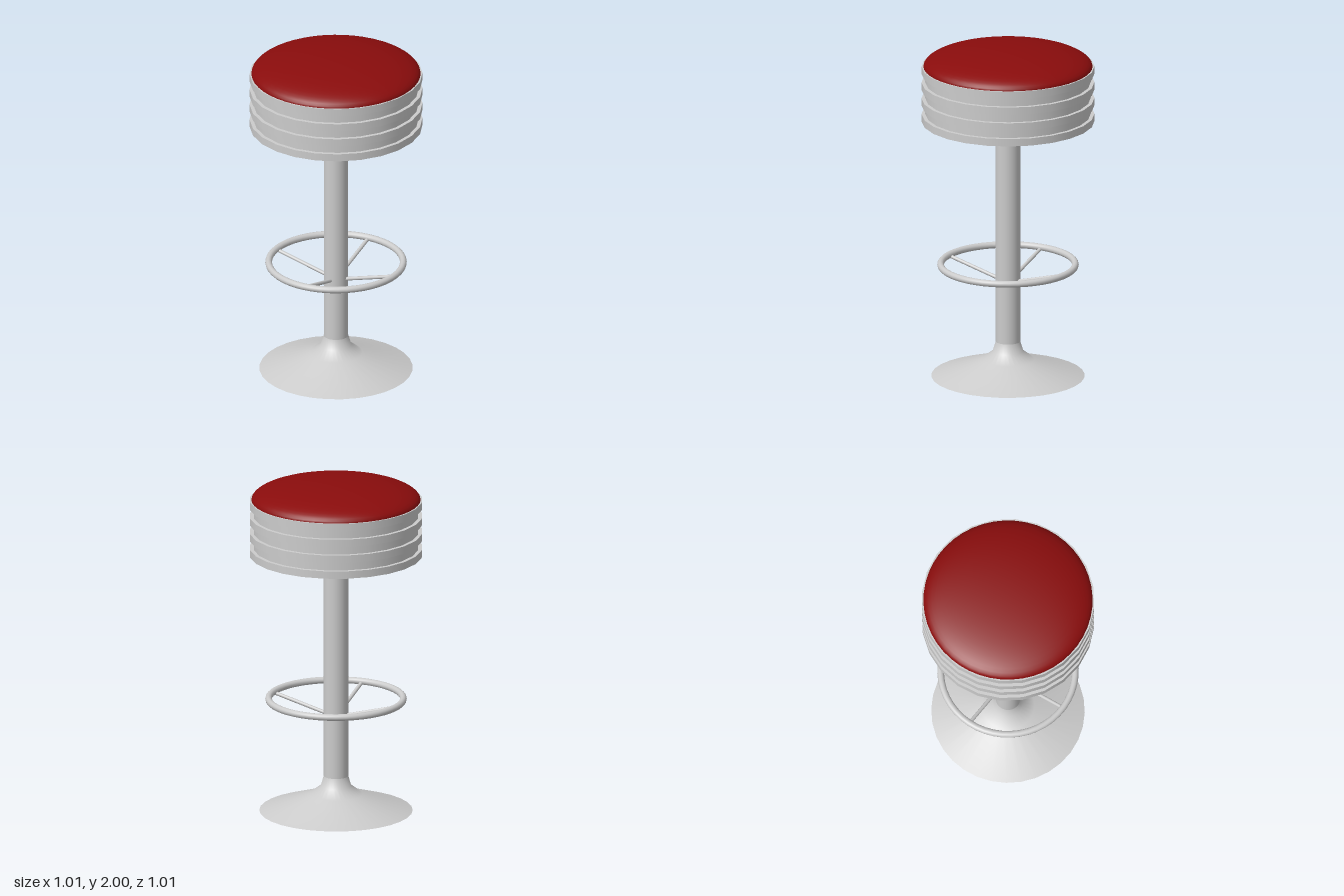
import * as THREE from 'three';

export function createModel() {
  const stool = new THREE.Group();
  stool.name = 'barStool';
  const metal = new THREE.MeshStandardMaterial({ color: 0xcccccc });
  const red = new THREE.MeshStandardMaterial({ color: 0x8a0c0c });

  const add = (name, geometry, material = metal, y = 0, parent = stool) => {
    const mesh = new THREE.Mesh(geometry, material);
    mesh.name = name;
    mesh.position.y = y;
    parent.add(mesh);
    return mesh;
  };
  const points = (list) => list.map(([r, y]) => new THREE.Vector2(r, y));

  // Flared foot, closed underneath
  add('base', new THREE.LatheGeometry(points([[0.45, 0], [0.155, 0.1], [0.09, 0.15], [0.072, 0.21]]), 32));
  const underside = add('baseUnderside', new THREE.CircleGeometry(0.45, 32));
  underside.rotation.set(Math.PI / 2, 0, Math.PI / 2);

  // Column
  add('column', new THREE.CylinderGeometry(0.072, 0.072, 1.36, 32, 1, true), metal, 0.89);

  // Footrest ring with four sloping struts
  const footrest = new THREE.Group();
  footrest.name = 'footrest';
  stool.add(footrest);
  const ring = add('footRing', new THREE.TorusGeometry(0.395, 0.02, 12, 48), metal, 0.68, footrest);
  ring.rotation.x = Math.PI / 2;
  for (let i = 0; i < 4; i++) {
    const path = new THREE.LineCurve3(new THREE.Vector3(0.068, 0.587, 0), new THREE.Vector3(0.39, 0.673, 0));
    const strut = add('footrestStrut', new THREE.TubeGeometry(path, 1, 0.011, 10), metal, 0, footrest);
    strut.rotation.y = i * Math.PI / 2;
  }

  // Seat drum with four raised bands
  const seat = new THREE.Group();
  seat.name = 'seat';
  stool.add(seat);
  add('seatDrum', new THREE.CylinderGeometry(0.485, 0.485, 0.32, 24), metal, 1.727, seat);
  for (let i = 0; i < 4; i++) {
    add('seatBand', new THREE.CylinderGeometry(0.507, 0.507, 0.045, 24), metal, 1.582 + i * 0.0967, seat);
  }

  // Domed cushion
  const dome = new THREE.SphereGeometry(1, 48, 14, 0, Math.PI * 2, 0, Math.PI / 2);
  dome.scale(0.496, 0.106, 0.496);
  add('cushion', dome, red, 1.894, seat);

  return stool;
}
